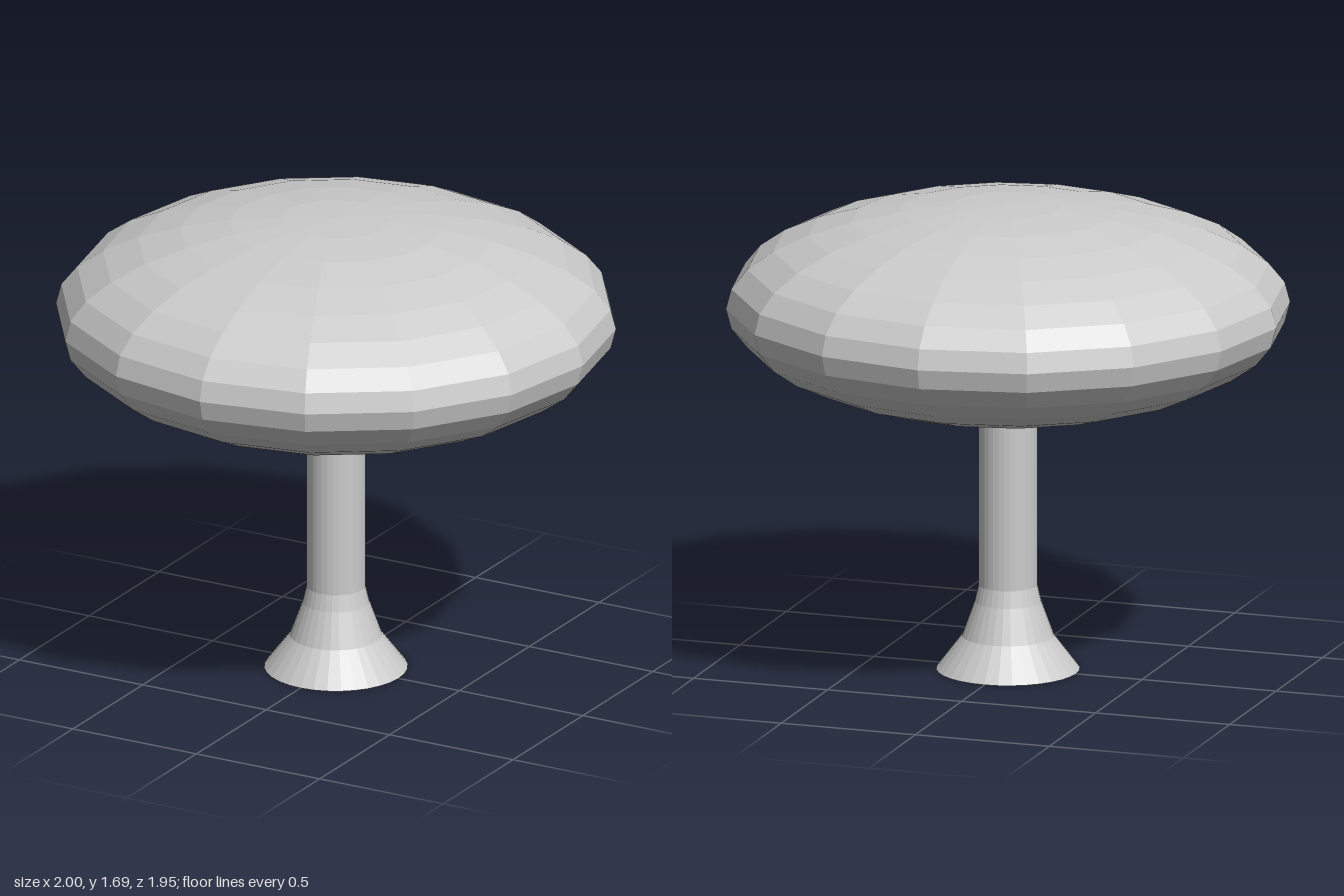
import * as THREE from 'three';

export function createModel() {
  const group = new THREE.Group();
  const material = new THREE.MeshStandardMaterial({ color: 0xcccccc, flatShading: true });

  // Faceted, flattened crown, slightly narrower in depth
  const crownGeometry = new THREE.SphereGeometry(1, 16, 16);
  crownGeometry.scale(1, 0.372, 0.975);
  const crown = new THREE.Mesh(crownGeometry, material);
  crown.name = 'crown';
  crown.position.y = 1.32;
  group.add(crown);

  // Stem with flared foot and closed underside; its top ends inside the crown
  const profile = [[0, 0], [0.254, 0], [0.163, 0.12], [0.118, 0.245], [0.104, 0.305], [0.104, 1.0], [0, 1.0]]
    .map(([r, y]) => new THREE.Vector2(r, y));
  const stem = new THREE.Mesh(new THREE.LatheGeometry(profile, 32), material);
  stem.name = 'stem';
  group.add(stem);

  return group;
}
